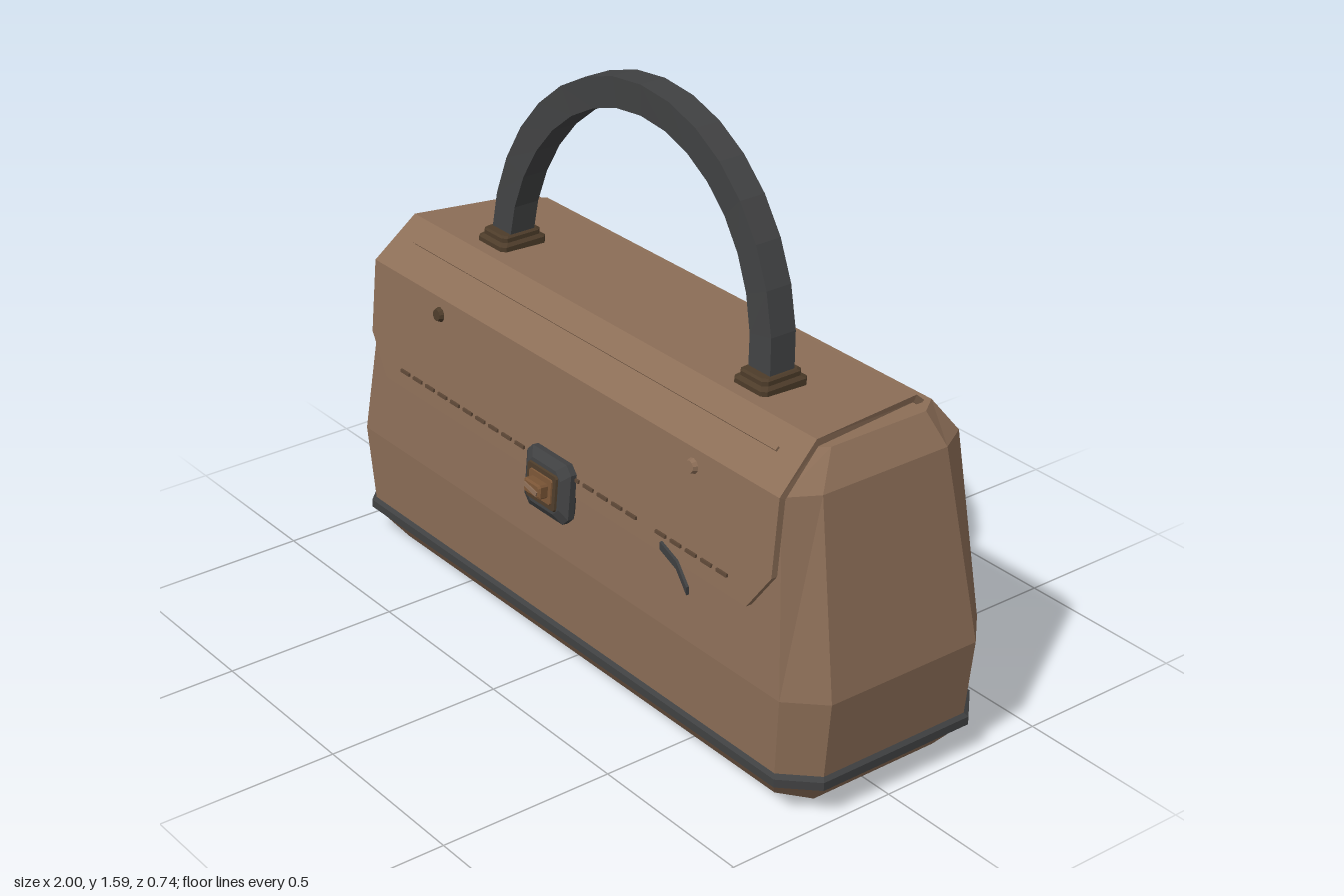
import * as THREE from 'three';

const mat = (name, color) => {
  const m = new THREE.MeshStandardMaterial({ color, flatShading: true });
  m.name = name;
  return m;
};

// Joins closed rings of points into a capped solid; rings run counter-clockwise about the travel direction.
function loft(rings) {
  const pos = [];
  const n = rings[0].length;
  const tri = (...pts) => pts.forEach((p) => pos.push(...p));
  for (let r = 0; r < rings.length - 1; r++) {
    for (let i = 0; i < n; i++) {
      const j = (i + 1) % n;
      const [a, b, c, d] = [rings[r][i], rings[r][j], rings[r + 1][j], rings[r + 1][i]];
      tri(a, b, c);
      tri(a, c, d);
    }
  }
  const first = rings[0];
  const last = rings[rings.length - 1];
  for (let i = 1; i < n - 1; i++) {
    tri(first[0], first[i + 1], first[i]);
    tri(last[0], last[i], last[i + 1]);
  }
  const g = new THREE.BufferGeometry();
  g.setAttribute('position', new THREE.Float32BufferAttribute(pos, 3));
  g.computeVertexNormals();
  return g;
}

// Horizontal rectangle with cut corners.
const octagon = (y, hx, zf, zb, cx, cz) => [
  [hx - cx, y, zf], [hx, y, zf - cz], [hx, y, zb + cz], [hx - cx, y, zb],
  [cx - hx, y, zb], [-hx, y, zb + cz], [-hx, y, zf - cz], [cx - hx, y, zf],
];

// Stepped plate with cut corners, from [height, halfWidth, halfDepth] levels.
const plate = (levels, cut) => loft(levels.map(([y, hx, hz]) => octagon(y, hx, hz, -hz, cut, cut)));

export function createModel() {
  const leather = mat('brown leather', 0x8c6e57);
  const trim = mat('charcoal trim', 0x404142);
  const bronze = mat('dark bronze', 0x4d3c2a);
  const copper = mat('copper', 0x7a5536);
  const thread = mat('dark thread', 0x5e4837);

  const bag = new THREE.Group();
  bag.name = 'handbag';
  const add = (name, geo, material, parent = bag) => {
    const m = new THREE.Mesh(geo, material);
    m.name = name;
    parent.add(m);
    return m;
  };

  // Body shell
  add('body', loft([
    octagon(0, 0.9, 0.22, -0.3, 0.08, 0.06),
    octagon(0.08, 0.97, 0.28, -0.357, 0.085, 0.085),
    octagon(0.34, 1.0, 0.29, -0.365, 0.09, 0.09),
    octagon(0.86, 0.9, 0.245, -0.325, 0.05, 0.085),
    octagon(0.94, 0.84, 0.14, -0.275, 0.04, 0.055),
  ]), leather);

  // Piping around the base
  add('basePiping', loft([
    octagon(0.075, 0.968, 0.276, -0.354, 0.085, 0.085),
    octagon(0.087, 0.985, 0.291, -0.367, 0.087, 0.087),
    octagon(0.11, 0.985, 0.291, -0.367, 0.087, 0.087),
    octagon(0.122, 0.972, 0.279, -0.356, 0.086, 0.086),
  ]), trim);

  // Folded flap: half width, outer z and y, inner z and y, from back to front
  add('flap', loft([
    [0.8, -0.25, 0.945, -0.235, 0.932],
    [0.8, -0.225, 0.967, -0.215, 0.95],
    [0.85, 0.14, 0.982, 0.135, 0.962],
    [0.865, 0.265, 0.872, 0.247, 0.862],
    [0.865, 0.285, 0.66, 0.267, 0.66],
    [0.785, 0.295, 0.55, 0.277, 0.55],
  ].map(([w, zo, yo, zi, yi]) => [[-w, yi, zi], [w, yi, zi], [w, yo, zo], [-w, yo, zo]])), leather);

  // Seam ridge on the flap's front bevel
  const ridge = add('flapRidge', new THREE.BoxGeometry(1.54, 0.009, 0.012), leather);
  ridge.position.set(0, 0.939, 0.192);
  ridge.rotation.x = 0.72;

  // Details lying on the sloping front of the flap
  const tilt = -0.094;
  const onFlap = (mesh, x, y, lift = 0) => {
    mesh.position.set(x, y, 0.265 + (0.872 - y) * 0.094 + lift);
    mesh.rotation.x = tilt;
    return mesh;
  };

  // Stitches, with a gap beside the pull tab
  for (let x = -0.69; x < 0.71; x += 0.06) {
    if (Math.abs(x) < 0.08 || (x > 0.34 && x < 0.45)) continue;
    onFlap(add('stitch', new THREE.BoxGeometry(0.04, 0.009, 0.008), thread), x, 0.6, 0.002);
  }

  // Rivets
  for (const side of [-1, 1]) {
    const geo = new THREE.CylinderGeometry(0.016, 0.022, 0.014, 10).rotateX(Math.PI / 2);
    onFlap(add('rivet', geo, side < 0 ? bronze : leather), side * 0.545, 0.825, 0.005);
  }

  // Clasp
  const clasp = onFlap(new THREE.Group(), 0, 0.55, -0.012);
  clasp.name = 'clasp';
  bag.add(clasp);
  const claspPart = (name, levels, cut, material) =>
    add(name, plate(levels, cut).rotateX(Math.PI / 2), material, clasp);
  claspPart('claspFrame', [[0, 0.085, 0.075], [0.012, 0.096, 0.085], [0.03, 0.096, 0.085], [0.046, 0.072, 0.062]], 0.022, trim);
  claspPart('claspPlate', [[0.04, 0.066, 0.053], [0.052, 0.062, 0.049]], 0.006, bronze);
  claspPart('claspInset', [[0.05, 0.05, 0.037], [0.056, 0.048, 0.035]], 0.005, copper);
  claspPart('claspKnob', [[0.05, 0.036, 0.02], [0.078, 0.036, 0.02], [0.083, 0.03, 0.015]], 0.005, copper);
  const bar = add('claspBar', new THREE.BoxGeometry(0.055, 0.012, 0.006), leather, clasp);
  bar.position.z = 0.084;
  bar.rotation.z = -0.2;

  // Loose pull tab
  add('pullTab', loft([[0.46, 0.575, 0.3], [0.55, 0.567, 0.32], [0.635, 0.545, 0.355]].map(([x, y, z]) => [
    [x, y - 0.011, z - 0.004], [x, y + 0.011, z - 0.004], [x, y + 0.011, z + 0.004], [x, y - 0.011, z + 0.004],
  ])), trim);

  // Handle mounts
  for (const side of [-1, 1]) {
    const mount = add('handleMount', plate([
      [0, 0.062, 0.074], [0.022, 0.062, 0.074], [0.03, 0.052, 0.063], [0.042, 0.052, 0.063], [0.047, 0.046, 0.057],
    ], 0.012), bronze);
    mount.position.set(side * 0.545, 0.971, 0.027);
  }

  // Arched handle, leaning back
  const arch = [];
  for (let i = 0; i <= 16; i++) {
    const a = (Math.PI * i) / 16;
    const at = (r, z) => [r * Math.cos(a), 1.0 + r * Math.sin(a), z - 0.056 * Math.sin(a)];
    arch.push([at(0.503, 0.064), at(0.586, 0.064), at(0.586, -0.014), at(0.503, -0.014)]);
  }
  add('handle', loft(arch), trim);

  return bag;
}
